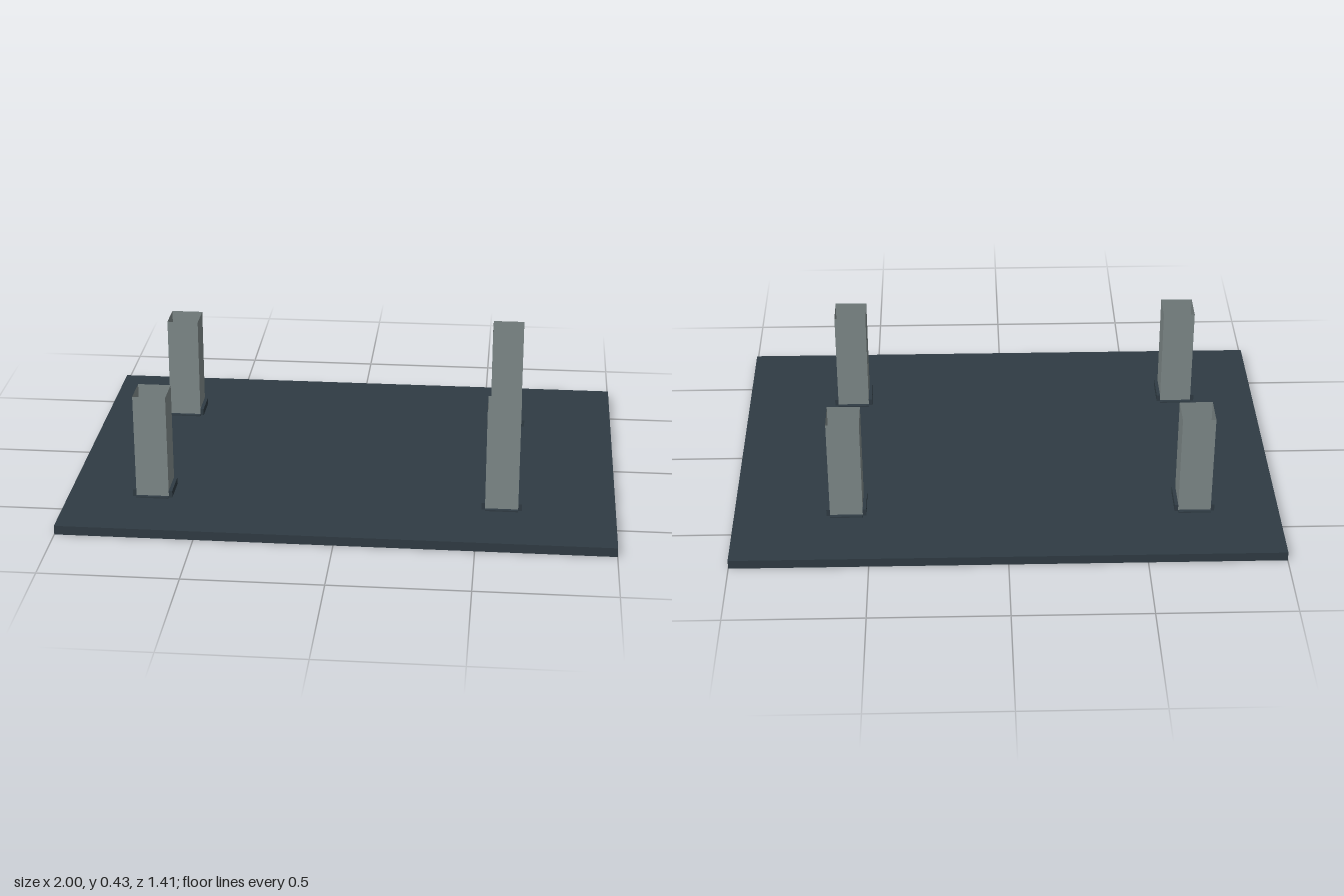
import * as THREE from 'three';

const steel = new THREE.MeshStandardMaterial({ color: 0x2f3b43 });
const tubeGrey = new THREE.MeshStandardMaterial({ color: 0x7d8888, side: THREE.DoubleSide, flatShading: true });

const PLATE = 0.034; // plate thickness
const TOP = 0.43; // top of the posts
const SIDE = 0.12; // post width

function box(name, w, h, d, x, y, z) {
  const mesh = new THREE.Mesh(new THREE.BoxGeometry(w, h, d), steel);
  mesh.name = name;
  mesh.position.set(x, y + h / 2, z);
  return mesh;
}

// Open square tube with low weld strips around its foot
function createPost() {
  const post = new THREE.Group();
  post.name = 'post';

  const height = TOP - PLATE;
  const geometry = new THREE.CylinderGeometry(SIDE / Math.SQRT2, SIDE / Math.SQRT2, height, 4, 1, true);
  geometry.rotateY(Math.PI / 4);
  const tube = new THREE.Mesh(geometry, tubeGrey);
  tube.name = 'squareTube';
  tube.position.y = PLATE + height / 2;
  post.add(tube);

  const strip = 0.013;
  const offset = SIDE / 2 + strip / 2;
  for (const s of [-1, 1]) {
    post.add(box('sideFootStrip', strip, 0.06 - PLATE, SIDE, s * offset, PLATE, 0));
    post.add(box('endFootStrip', SIDE, 0.005, strip, 0, PLATE, s * offset));
  }
  return post;
}

export function createModel() {
  const model = new THREE.Group();
  model.name = 'basePlateWithPosts';
  model.add(box('basePlate', 2, PLATE, 1.41, 0, 0, 0));

  // Four posts, set slightly off centre along x
  for (const x of [-0.69, 0.588]) {
    for (const z of [-0.378, 0.378]) {
      const post = createPost();
      post.position.set(x, 0, z);
      model.add(post);
    }
  }
  return model;
}
